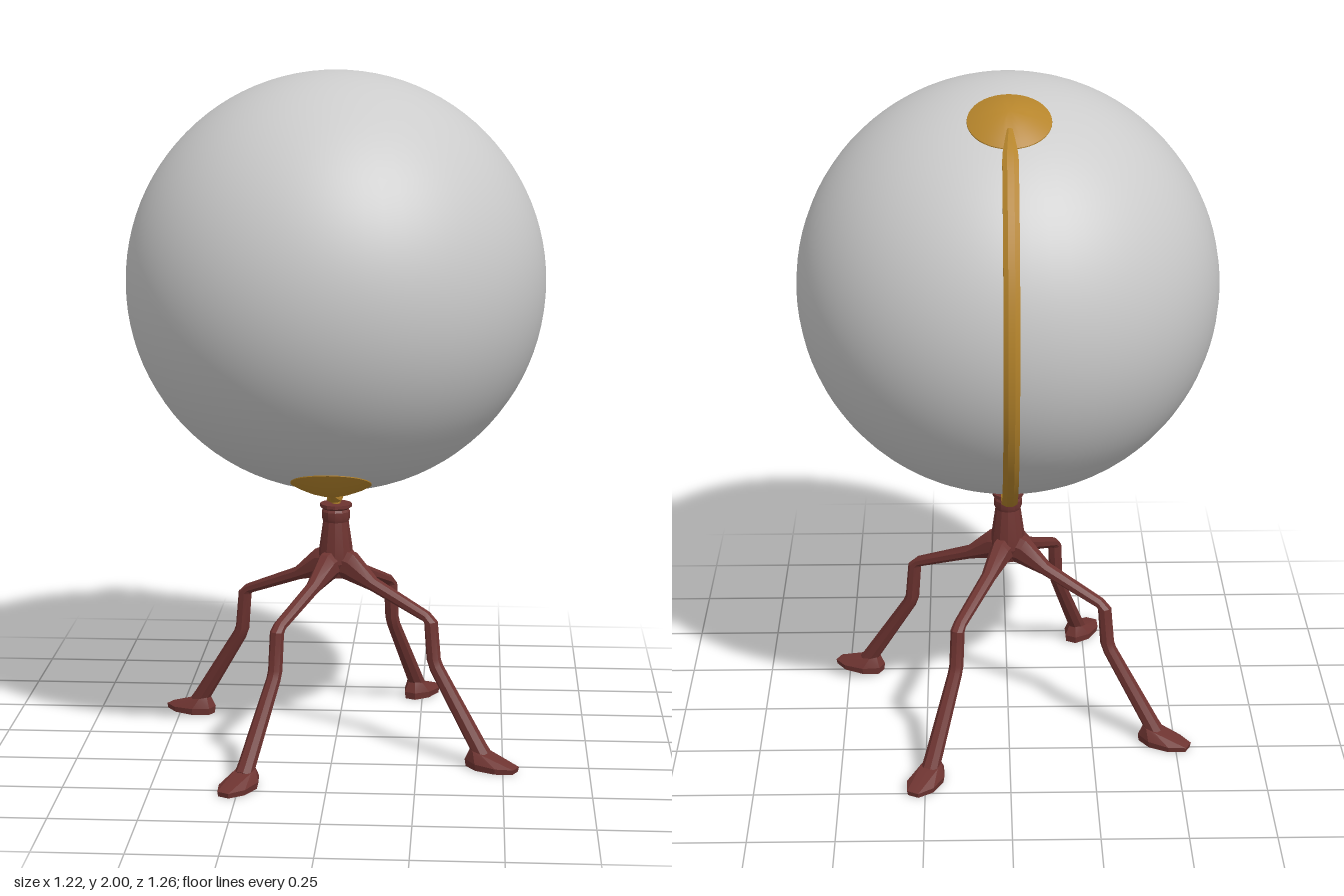
import * as THREE from 'three';
import { toCreasedNormals } from 'three/addons/utils/BufferGeometryUtils.js';
import { ConvexGeometry } from 'three/addons/geometries/ConvexGeometry.js';

const grey = new THREE.MeshStandardMaterial({ color: 0xcccccc });
const brass = new THREE.MeshStandardMaterial({ color: 0xb5842b });
const iron = new THREE.MeshStandardMaterial({ color: 0x6e3431 });

const CENTRE = 1.39, RADIUS = 0.61, TILT = THREE.MathUtils.degToRad(23.4);

function add(parent, name, geometry, material) {
  const mesh = new THREE.Mesh(geometry, material);
  mesh.name = name;
  parent.add(mesh);
  return mesh;
}

// Sweep a polygon section along stations in the xy plane: [x, y, half thickness, half width]
function sweep(stations, sides) {
  const pos = [], idx = [], n = stations.length;
  stations.forEach(([x, y, thick, wide], i) => {
    const a = stations[Math.max(i - 1, 0)], b = stations[Math.min(i + 1, n - 1)];
    const t = new THREE.Vector2(b[0] - a[0], b[1] - a[1]).normalize();
    for (let j = 0; j < sides; j++) {
      const q = ((j + 0.5) / sides) * Math.PI * 2;
      const k = Math.sin(q) * thick;
      pos.push(x + t.y * k, y - t.x * k, Math.cos(q) * wide);
    }
  });
  for (let i = 0; i < n - 1; i++) {
    for (let j = 0; j < sides; j++) {
      const a = i * sides + j, b = i * sides + (j + 1) % sides;
      idx.push(a, b, b + sides, a, b + sides, a + sides);
    }
  }
  const last = (n - 1) * sides;
  for (let j = 1; j < sides - 1; j++) {
    idx.push(0, j + 1, j, last, last + j, last + j + 1);
  }
  const g = new THREE.BufferGeometry();
  g.setAttribute('position', new THREE.Float32BufferAttribute(pos, 3));
  g.setIndex(idx);
  return toCreasedNormals(g, 0.35);
}

function lathe(points, sides) {
  const profile = points.map(([r, y]) => new THREE.Vector2(r, y));
  return toCreasedNormals(new THREE.LatheGeometry(profile, sides), 0.4);
}

// Hoof-like foot: narrow ankle spreading to a long flat sole
function footGeometry() {
  const pts = [];
  const ring = (x, y, rx, rz, slope) => {
    for (let j = 0; j < 8; j++) {
      const q = ((j + 0.5) / 8) * Math.PI * 2;
      pts.push(new THREE.Vector3(x + Math.cos(q) * rx, y - slope * Math.cos(q), Math.sin(q) * rz));
    }
  };
  ring(0.53, 0, 0.083, 0.045, 0);
  ring(0.53, 0.018, 0.086, 0.048, 0.004);
  ring(0.495, 0.048, 0.034, 0.03, 0.006);
  return toCreasedNormals(new ConvexGeometry(pts), 0.3);
}

export function createModel() {
  const model = new THREE.Group();
  model.name = 'globeOnStand';
  model.position.z = 0.02;
  const root = new THREE.Group();
  root.add(model);

  add(model, 'globe', new THREE.SphereGeometry(RADIUS, 64, 48), grey).position.y = CENTRE;

  // Shallow domed caps at both ends of the tilted axis
  const axis = new THREE.Group();
  axis.name = 'axisCaps';
  axis.position.y = CENTRE;
  axis.rotation.x = -TILT;
  model.add(axis);
  const capGeo = lathe([[0.118, 0.592], [0.116, 0.601], [0.095, 0.612], [0.06, 0.626], [0.03, 0.634], [0, 0.637]], 40);
  add(axis, 'topCap', capGeo, brass);
  add(axis, 'bottomCap', capGeo, brass).rotation.x = Math.PI;

  // Half-ring bracket passing behind the globe, tapered into the caps
  const arc = [], steps = 64;
  for (let i = 0; i <= steps; i++) {
    const f = i / steps;
    const a = Math.PI / 2 - TILT - THREE.MathUtils.lerp(0.1, Math.PI - 0.1, f);
    const s = Math.min(1, 0.35 + Math.min(f, 1 - f) * 12);
    const r = 0.635 - (1 - s) * 0.012;
    arc.push([r * Math.cos(a), CENTRE + r * Math.sin(a), 0.013 * s, 0.024 * s]);
  }
  add(model, 'meridianArm', sweep(arc, 8), brass).rotation.y = Math.PI / 2;

  add(model, 'pivotPin', lathe([[0, 0.7], [0.013, 0.7], [0.013, 0.74], [0.02, 0.765], [0, 0.765]], 12), brass);

  // Stand column with collar
  add(model, 'column', lathe([
    [0, 0.505], [0.03, 0.505], [0.05, 0.55], [0.05, 0.59], [0.038, 0.675], [0.042, 0.685],
    [0.042, 0.705], [0.038, 0.712], [0.047, 0.718], [0.047, 0.728], [0, 0.728],
  ], 12), iron);

  // Four bent legs, turned around the column
  const legGeo = sweep([
    [0.0, 0.55, 0.05, 0.034],
    [0.05, 0.543, 0.046, 0.032],
    [0.13, 0.498, 0.021, 0.022],
    [0.31, 0.425, 0.016, 0.02],
    [0.325, 0.41, 0.02, 0.021],
    [0.335, 0.3, 0.021, 0.021],
    [0.345, 0.275, 0.021, 0.021],
    [0.485, 0.06, 0.025, 0.026],
    [0.5, 0.035, 0.028, 0.028],
  ], 8);
  const footGeo = footGeometry();
  for (let i = 0; i < 4; i++) {
    const leg = new THREE.Group();
    leg.name = 'leg' + (i + 1);
    leg.rotation.y = -THREE.MathUtils.degToRad(28) + i * Math.PI / 2;
    add(leg, 'shank', legGeo, iron);
    add(leg, 'foot', footGeo, iron);
    model.add(leg);
  }
  return root;
}
